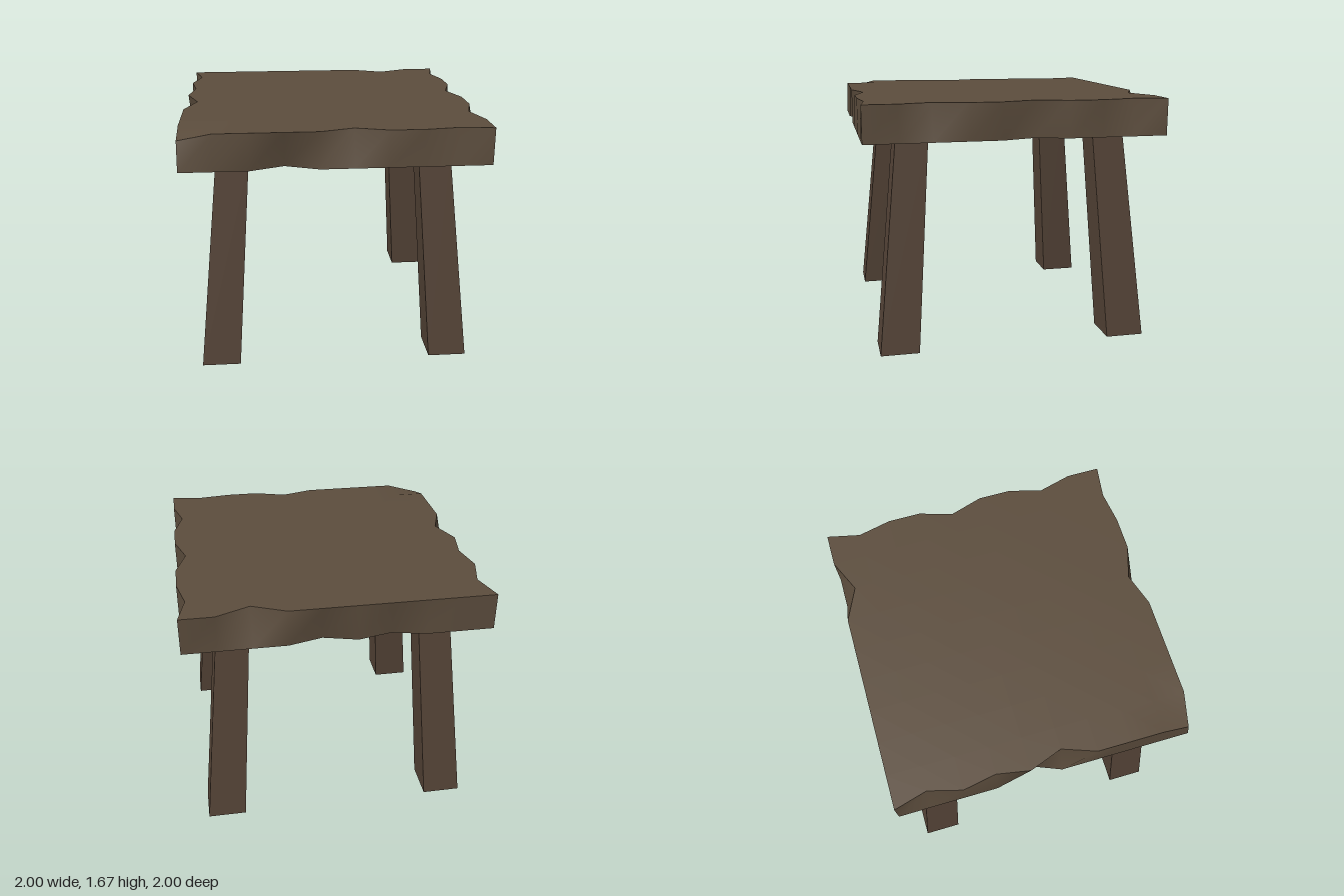
import * as THREE from 'three';

const SEG = 9, TOP = 1.67, BOTTOM = 1.425;

// Chipped rim: [side, upper or lower rim, step along the side (0..9 from -1 to 1), inset]
const CHIPS = [
  ['back', 'upper', 7, 0.1], ['back', 'lower', 5, 0.06], ['back', 'lower', 3, 0.05],
  ['front', 'upper', 5, 0.07], ['front', 'upper', 8, 0.03], ['front', 'upper', 0, 0.04],
  ['front', 'lower', 3, 0.09],
  ['left', 'upper', 1, 0.05], ['left', 'upper', 4, 0.07], ['left', 'upper', 7, 0.06],
  ['left', 'lower', 4, 0.07],
  ['right', 'upper', 1, 0.06], ['right', 'upper', 3, 0.04], ['right', 'upper', 5, 0.08],
  ['right', 'lower', 4, 0.09],
];

// Outward direction of each side of the seat
const SIDES = { front: [0, 1], back: [0, -1], left: [1, 0], right: [-1, 0] };

function createSeat(material) {
  const geo = new THREE.BoxGeometry(2, TOP - BOTTOM, 2, SEG, 1, SEG);
  geo.translate(0, (TOP + BOTTOM) / 2, 0);
  const pos = geo.attributes.position;
  const step = (v) => Math.round((v + 1) * SEG / 2);
  for (let i = 0; i < pos.count; i++) {
    const x = pos.getX(i), y = pos.getY(i), z = pos.getZ(i);
    const rim = y > (TOP + BOTTOM) / 2 ? 'upper' : 'lower';
    for (const [side, level, at, inset] of CHIPS) {
      const [nx, nz] = SIDES[side];
      const onSide = x * nx + z * nz > 0.999;
      if (!onSide || level !== rim || step(nx ? z : x) !== at) continue;
      pos.setXYZ(i, x - nx * inset, y, z - nz * inset);
      // the chipped corner also sinks
      if (at === 0) pos.setY(i, y - 0.05);
    }
  }
  geo.computeVertexNormals();
  const seat = new THREE.Mesh(geo, material);
  seat.name = 'seat';
  return seat;
}

// Splayed, tapering square leg
function createLeg(sx, sz, material) {
  const geo = new THREE.BoxGeometry(1, 1, 1);
  const pos = geo.attributes.position;
  for (let i = 0; i < pos.count; i++) {
    const upper = pos.getY(i) > 0;
    const centre = upper ? 0.668 : 0.79;
    const width = upper ? 0.215 : 0.26;
    pos.setXYZ(i, sx * centre + pos.getX(i) * width, upper ? BOTTOM : 0,
      sz * centre + pos.getZ(i) * width);
  }
  geo.computeVertexNormals();
  const leg = new THREE.Mesh(geo, material);
  leg.name = (sz > 0 ? 'front' : 'back') + (sx > 0 ? 'Left' : 'Right') + 'Leg';
  return leg;
}

export function createModel() {
  const group = new THREE.Group();
  group.name = 'stool';
  const seatWood = new THREE.MeshStandardMaterial({ color: 0x5c4d3d });
  const legWood = new THREE.MeshStandardMaterial({ color: 0x554437 });
  group.add(createSeat(seatWood));
  for (const sx of [-1, 1]) for (const sz of [-1, 1]) group.add(createLeg(sx, sz, legWood));
  return group;
}
